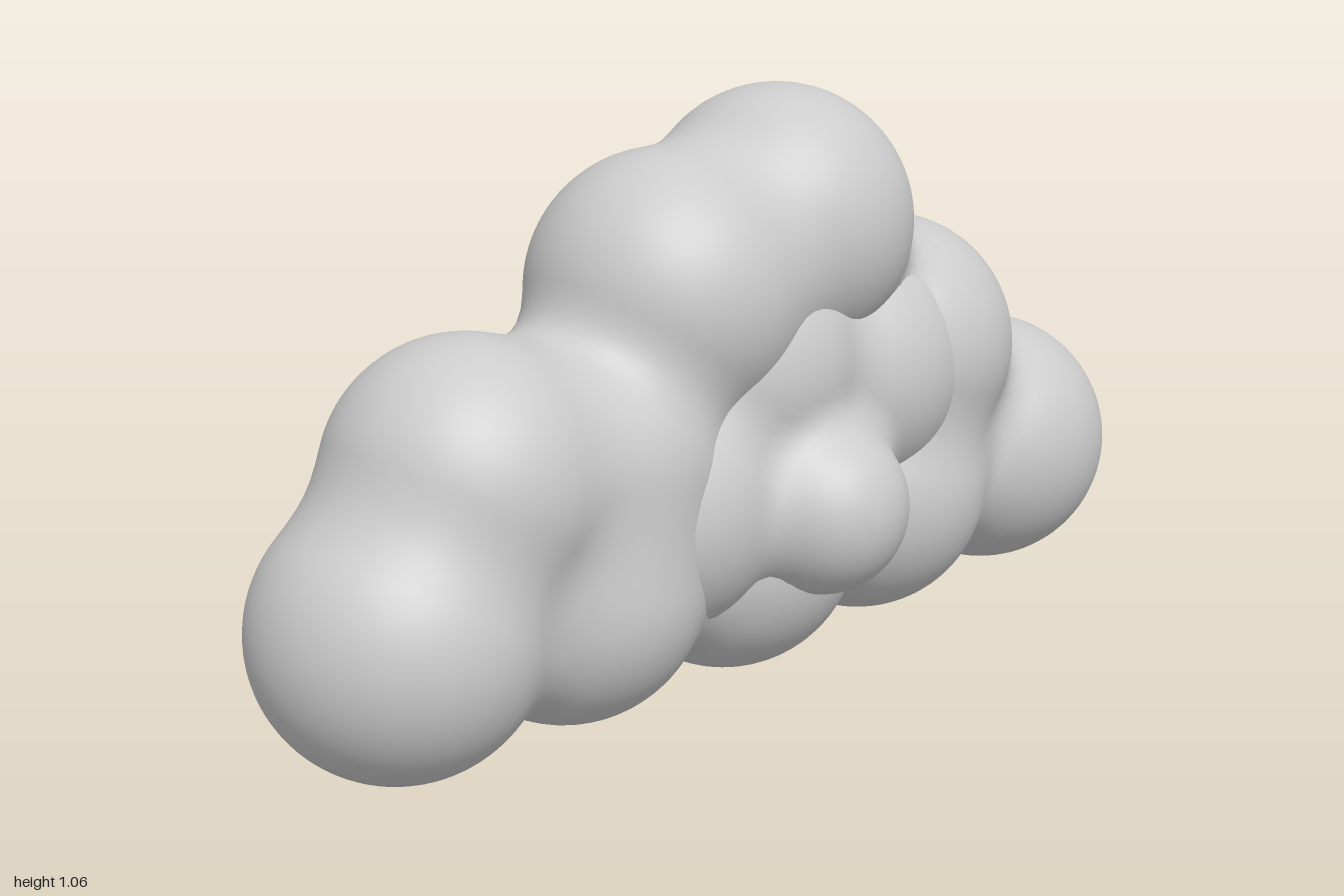
import * as THREE from 'three';

const CX = -0.055; // middle plane of the cloud

// Rounded union of balls [x, y, z, r]
function blend(balls, k) {
  return (x, y, z) => {
    let d = 10;
    for (const [bx, by, bz, r] of balls) {
      const e = Math.hypot(x - bx, y - by, z - bz) - r;
      const h = Math.max(k - Math.abs(d - e), 0) / k;
      d = Math.min(d, e) - h * h * k * 0.25;
    }
    return d;
  };
}

function gradient(f, x, y, z) {
  const e = 0.002;
  return new THREE.Vector3(
    f(x + e, y, z) - f(x - e, y, z),
    f(x, y + e, z) - f(x, y - e, z),
    f(x, y, z + e) - f(x, y, z - e)).normalize();
}

// Skin a field with quads: one vertex per crossed cell, one quad per crossed edge
function skin(f, min, max, step) {
  const n = min.map((m, i) => Math.ceil((max[i] - m) / step) + 1);
  const stride = [1, n[0], n[0] * n[1]];
  const at = (i, j, k) => i + j * stride[1] + k * stride[2];
  const val = new Float32Array(n[0] * n[1] * n[2]);
  for (let k = 0; k < n[2]; k++)
    for (let j = 0; j < n[1]; j++)
      for (let i = 0; i < n[0]; i++)
        val[at(i, j, k)] = f(min[0] + i * step, min[1] + j * step, min[2] + k * step);

  const cell = new Int32Array(val.length).fill(-1);
  const pos = [], nor = [], idx = [];
  for (let k = 0; k < n[2] - 1; k++)
    for (let j = 0; j < n[1] - 1; j++)
      for (let i = 0; i < n[0] - 1; i++) {
        let inside = 0;
        for (let c = 0; c < 8; c++)
          if (val[at(i + (c & 1), j + ((c >> 1) & 1), k + (c >> 2))] < 0) inside++;
        if (inside === 0 || inside === 8) continue;
        // start at the cell centre and slide onto the surface
        const p = new THREE.Vector3(
          min[0] + (i + 0.5) * step, min[1] + (j + 0.5) * step, min[2] + (k + 0.5) * step);
        for (let s = 0; s < 3; s++)
          p.addScaledVector(gradient(f, p.x, p.y, p.z), -f(p.x, p.y, p.z));
        cell[at(i, j, k)] = pos.length / 3;
        pos.push(p.x, p.y, p.z);
        nor.push(...gradient(f, p.x, p.y, p.z).toArray());
      }

  for (let k = 1; k < n[2] - 1; k++)
    for (let j = 1; j < n[1] - 1; j++)
      for (let i = 1; i < n[0] - 1; i++) {
        const o = at(i, j, k);
        for (let a = 0; a < 3; a++) {
          const inA = val[o] < 0, inB = val[o + stride[a]] < 0;
          if (inA === inB) continue;
          const u = stride[(a + 1) % 3], v = stride[(a + 2) % 3];
          const q = [cell[o - u - v], cell[o - v], cell[o], cell[o - u]];
          if (!inA) q.reverse();
          idx.push(q[0], q[1], q[2], q[0], q[2], q[3]);
        }
      }

  const g = new THREE.BufferGeometry();
  g.setAttribute('position', new THREE.Float32BufferAttribute(pos, 3));
  g.setAttribute('normal', new THREE.Float32BufferAttribute(nor, 3));
  g.setIndex(idx);
  return g;
}

export function createModel() {
  const group = new THREE.Group();
  group.name = 'cloud';
  const material = new THREE.MeshStandardMaterial({ color: 0xcccccc });

  // Outer ring of puffs: [z, y, radius]
  const rim = [
    [0.75, 0.268, 0.25], [0.6, 0.495, 0.243], [0.34, 0.47, 0.24],
    [0.14, 0.735, 0.25], [-0.14, 0.815, 0.25], [-0.44, 0.53, 0.25],
    [-0.75, 0.27, 0.25], [-0.37, 0.265, 0.25], [0, 0.25, 0.25], [0.39, 0.26, 0.25],
  ].map(([z, y, r]) => [CX, y, z, r]);

  // Inner puffs filling the middle, plus the ball standing out on the left side
  const core = [
    [0.2, 0.37, 0.255], [0, 0.58, 0.25], [-0.28, 0.52, 0.255], [-0.04, 0.38, 0.245],
  ].map(([z, y, r]) => [CX, y, z, r]);
  core.push([0.15, 0.34, -0.04, 0.16]);

  const parts = [['outerPuffs', rim, 0.08], ['innerPuffs', core, 0.06]];
  for (const [name, balls, k] of parts) {
    const geometry = skin(blend(balls, k), [-0.4, -0.06, -1.06], [0.4, 1.14, 1.06], 0.02);
    const mesh = new THREE.Mesh(geometry, material);
    mesh.name = name;
    group.add(mesh);
  }
  return group;
}
